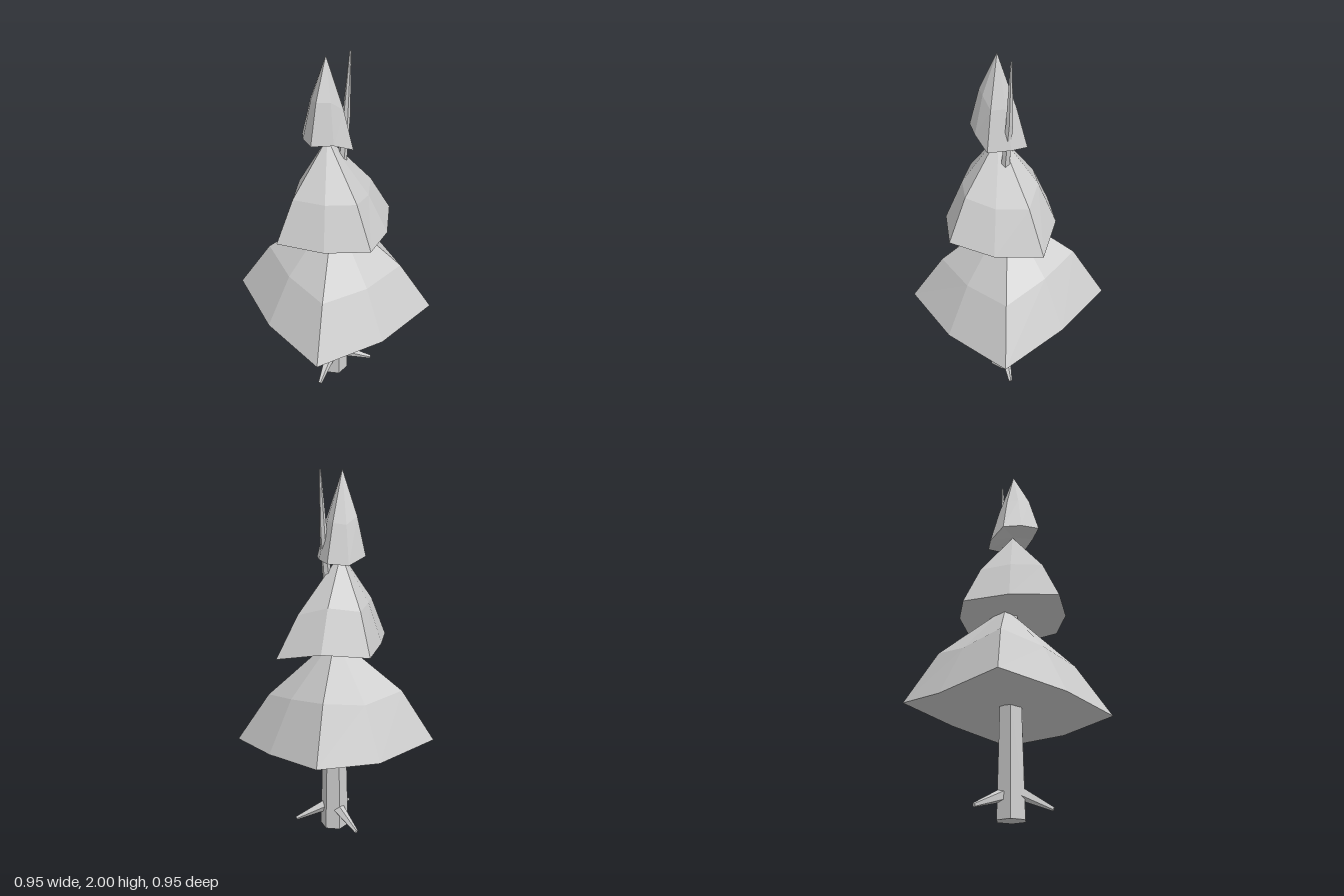
import * as THREE from 'three';

const grey = new THREE.MeshStandardMaterial({ color: 0xcccccc, flatShading: true });
grey.name = 'plain grey';

function facetedMesh(name, triangles) {
  const geometry = new THREE.BufferGeometry();
  geometry.setAttribute('position', new THREE.Float32BufferAttribute(triangles.flat(), 3));
  geometry.computeVertexNormals();
  const mesh = new THREE.Mesh(geometry, grey);
  mesh.name = name;
  return mesh;
}

// Foliage tier: rim (clockwise from above) -> bulging ring -> apex, closed by a fan below
function tier({ name, apex, rim, t, rise, under }) {
  const ring = rim.map(([x, y, z]) => [
    apex[0] + (x - apex[0]) * t, y + rise, apex[2] + (z - apex[2]) * t,
  ]);
  const centre = [apex[0], under, apex[2]];
  const tris = [];
  rim.forEach((p, i) => {
    const j = (i + 1) % rim.length;
    tris.push(apex, ring[j], ring[i]);
    tris.push(ring[i], ring[j], rim[j], ring[i], rim[j], p);
    tris.push(centre, p, rim[j]);
  });
  return facetedMesh(name, tris);
}

// Six-sided trunk lofted through rings of [x, y, z, radius]
function trunk(sections) {
  const sides = 6;
  const loops = sections.map(([x, y, z, r]) => Array.from({ length: sides }, (_, k) => {
    const a = (k / sides) * Math.PI * 2;
    return [x + r * Math.cos(a), y, z + r * Math.sin(a)];
  }));
  const tris = [];
  const first = sections[0].slice(0, 3);
  const last = sections[sections.length - 1].slice(0, 3);
  for (let k = 0; k < sides; k++) {
    const n = (k + 1) % sides;
    for (let s = 0; s < loops.length - 1; s++) {
      const a = loops[s], b = loops[s + 1];
      tris.push(a[k], b[k], b[n], a[k], b[n], a[n]);
    }
    tris.push(first, loops[0][k], loops[0][n]);
    tris.push(last, loops[loops.length - 1][n], loops[loops.length - 1][k]);
  }
  return facetedMesh('trunk', tris);
}

// Tapered root between two points
function root(name, from, to) {
  const a = new THREE.Vector3(...from), b = new THREE.Vector3(...to);
  const dir = b.clone().sub(a);
  const mesh = new THREE.Mesh(new THREE.CylinderGeometry(0.011, 0.034, dir.length(), 5), grey);
  mesh.position.copy(a).add(b).multiplyScalar(0.5);
  mesh.quaternion.setFromUnitVectors(new THREE.Vector3(0, 1, 0), dir.normalize());
  mesh.name = name;
  return mesh;
}

export function createModel() {
  const tree = new THREE.Group();
  tree.name = 'tree';

  // Trunk, bending and thinning into the spire at the top
  tree.add(trunk([
    [-0.02, 0, 0.022, 0.08],
    [-0.02, 0.6, 0.022, 0.064],
    [-0.025, 1.08, 0.028, 0.036],
    [0.02, 1.5, 0.044, 0.023],
    [0.04, 1.68, 0.046, 0.02],
    [0.055, 2, 0.054, 0.005],
  ]));

  // Roots
  tree.add(root('leftRoot', [0.01, 0.125, 0.055], [0.135, 0.045, 0.18]));
  tree.add(root('rightRoot', [-0.07, 0.13, 0.03], [-0.225, 0.045, 0.075]));
  tree.add(root('backRoot', [0, 0.12, -0.02], [0.053, 0.05, -0.19]));

  // Foliage, from bottom to top: corners and edge midpoints alternate
  tree.add(tier({
    name: 'lowerFoliage', apex: [0, 1.14, 0], t: 0.67, rise: 0.275, under: 0.57,
    rim: [
      [-0.263, 0.575, -0.475], [0.13, 0.555, -0.39], [0.475, 0.61, -0.252], [0.42, 0.57, 0.11],
      [0.29, 0.52, 0.472], [-0.11, 0.51, 0.425], [-0.477, 0.515, 0.27], [-0.42, 0.54, -0.12],
    ],
  }));
  tree.add(tier({
    name: 'middleFoliage', apex: [-0.05, 1.58, 0], t: 0.67, rise: 0.22, under: 1.09,
    rim: [
      [0.08, 1.085, -0.285], [0.24, 1.105, -0.095], [0.31, 1.055, 0.147], [0.1, 1.055, 0.28],
      [-0.132, 1.09, 0.342], [-0.285, 1.09, 0.165], [-0.373, 1.09, -0.07], [-0.15, 1.1, -0.197],
    ],
  }));
  tree.add(tier({
    name: 'upperFoliage', apex: [-0.058, 2, 0], t: 0.63, rise: 0.2, under: 1.58,
    rim: [
      [-0.075, 1.57, -0.14], [0.03, 1.53, -0.11], [0.1, 1.54, -0.025], [0.06, 1.55, 0.06],
      [-0.025, 1.55, 0.142], [-0.125, 1.6, 0.1], [-0.207, 1.605, 0.027], [-0.15, 1.59, -0.07],
    ],
  }));
  return tree;
}
